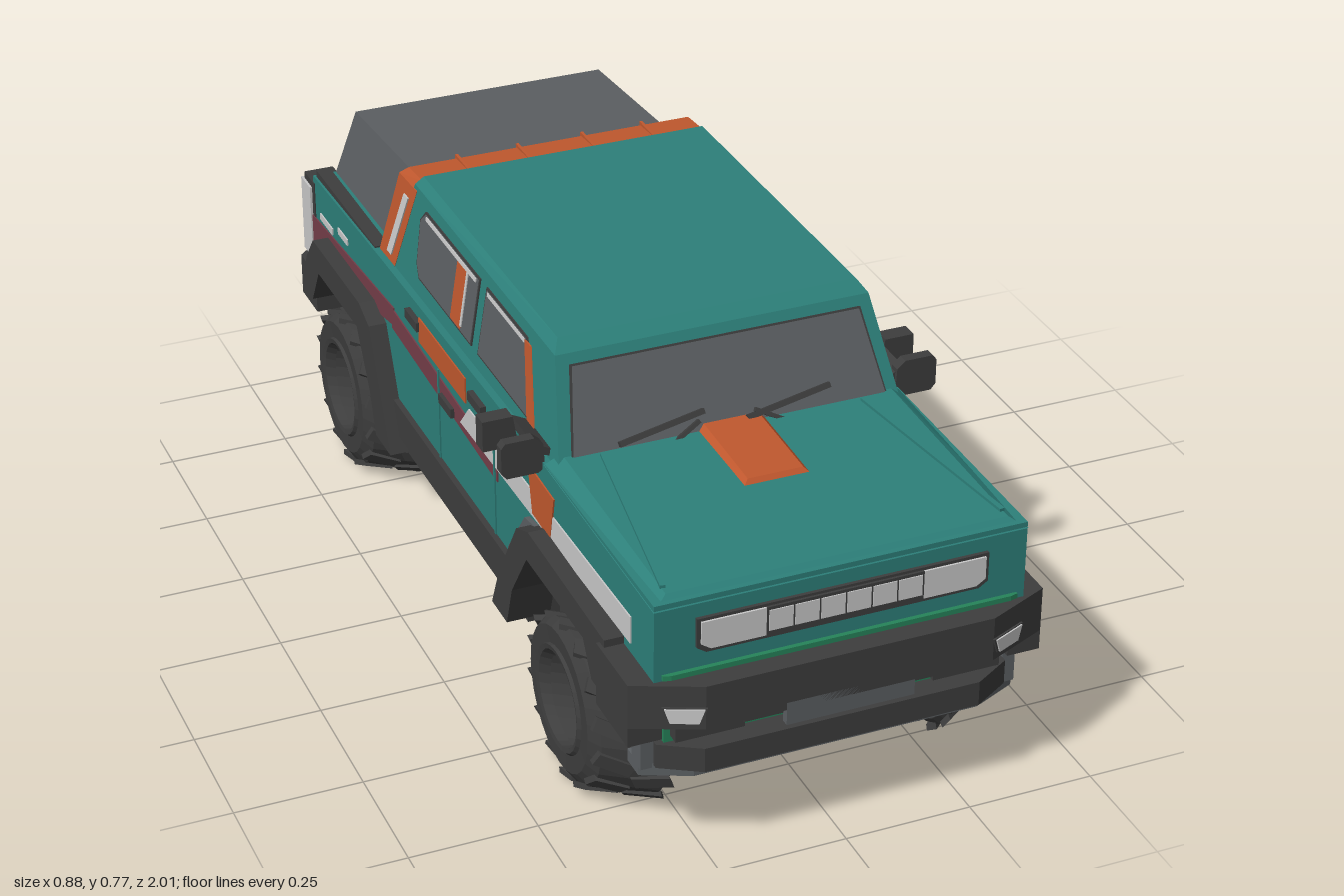
import * as THREE from 'three';
import { mergeGeometries } from 'three/addons/utils/BufferGeometryUtils.js';

const mat = (name, color) => {
  const m = new THREE.MeshStandardMaterial({ color });
  m.name = name;
  return m;
};

export function createModel() {
  const teal = mat('teal paint', 0x2d807a), orange = mat('orange paint', 0xc0582e), maroon = mat('maroon paint', 0x743d48);
  const dark = mat('dark trim', 0x3d3d3d), glass = mat('grey glass', 0x5b5f62), light = mat('light grey', 0xc9c9c9);
  const green = mat('green trim', 0x26845a), black = mat('black underside', 0x262626);
  const model = new THREE.Group();
  model.name = 'pickup';

  const add = (name, geo, material) => {
    const m = new THREE.Mesh(geo, material);
    m.name = name;
    model.add(m);
    return m;
  };
  // box given by its limits
  const box = (name, material, x0, x1, y0, y1, z0, z1) => add(name,
    new THREE.BoxGeometry(Math.abs(x1 - x0), y1 - y0, z1 - z0).translate((x0 + x1) / 2, (y0 + y1) / 2, (z0 + z1) / 2), material);
  const pair = (name, material, x0, x1, ...r) => [1, -1].forEach(s => box(name, material, s * x0, s * x1, ...r));
  const shape = pts => new THREE.Shape(pts.map(p => new THREE.Vector2(...p)));

  // rectangular rings [yBack, yFront, zBack, zFront, halfWidth] joined from bottom to top
  const stack = (name, material, rings) => {
    const P = rings.map(([yb, yf, zb, zf, x]) => [[-x, yf, zf], [x, yf, zf], [x, yb, zb], [-x, yb, zb]]);
    const v = [];
    const quad = (a, b, c, d) => v.push(...a, ...b, ...c, ...a, ...c, ...d);
    for (let i = 0; i < P.length - 1; i++)
      for (let k = 0; k < 4; k++) quad(P[i][k], P[i][(k + 1) % 4], P[i + 1][(k + 1) % 4], P[i + 1][k]);
    quad(...P[P.length - 1]);
    quad(...[...P[0]].reverse());
    const g = new THREE.BufferGeometry();
    g.setAttribute('position', new THREE.Float32BufferAttribute(v, 3));
    g.computeVertexNormals();
    return add(name, g, material);
  };
  // side outline [z, y] extruded along x from x0 to x0 + depth, on side s
  const sideGeo = (pts, s, x0, depth) => new THREE.ExtrudeGeometry(shape(pts.map(([z, y]) => [-s * z, y])),
    { depth, bevelEnabled: false }).rotateY(s * Math.PI / 2).translate(s * x0, 0, 0);
  // thin plate that follows the sloping side of the body
  const wallX = y => y > 0.56 ? 0.345 - 0.03 * (y - 0.56) / 0.19 : 0.36;
  const plate = (name, material, s, pts, lift = 0.001) => {
    const g = sideGeo(pts, s, 0, 0.003), p = g.attributes.position;
    for (let i = 0; i < p.count; i++) p.setX(i, p.getX(i) + s * (wallX(p.getY(i)) + lift));
    g.computeVertexNormals();
    return add(name, g, material);
  };
  const rect = (z0, z1, y0, y1) => [[z0, y0], [z1, y0], [z1, y1], [z0, y1]];
  // half plan [x, z] mirrored and extruded upwards
  const plan = (name, material, half, y0, y1) => {
    const pts = [...half, ...half.map(([x, z]) => [-x, z]).reverse()].map(([x, z]) => [x, -z]);
    return add(name, new THREE.ExtrudeGeometry(shape(pts), { depth: y1 - y0, bevelEnabled: false })
      .rotateX(-Math.PI / 2).translate(0, y0, 0), material);
  };
  // outline [x, y] extruded towards +z
  const front = (name, material, pts, z, depth) => add(name,
    new THREE.ExtrudeGeometry(shape(pts), { depth, bevelEnabled: false }).translate(0, 0, z), material);

  // lower body with open wheel arches, hood, cabin, hoop and bed cover
  add('body', sideGeo([[-0.92, 0.3], [-0.86, 0.3], [-0.8, 0.39], [-0.5, 0.39], [-0.4, 0.25], [0.33, 0.25], [0.43, 0.39],
    [0.75, 0.39], [0.82, 0.3], [0.9, 0.3], [0.955, 0.4], [0.955, 0.562], [0.45, 0.562], [-0.45, 0.545], [-0.91, 0.53]],
    1, -0.36, 0.72), teal);
  stack('hood', teal, [[0.56, 0.55, 0.44, 0.957, 0.361], [0.583, 0.57, 0.45, 0.935, 0.33]]);
  stack('cabin', teal, [[0.545, 0.56, -0.45, 0.475, 0.345], [0.75, 0.75, -0.37, 0.385, 0.315], [0.768, 0.772, -0.36, 0.36, 0.3]]);
  stack('rearHoop', orange, [[0.53, 0.53, -0.52, -0.43, 0.348], [0.735, 0.74, -0.46, -0.355, 0.317], [0.753, 0.76, -0.44, -0.352, 0.303]]);
  for (const x of [-0.2, -0.07, 0.07, 0.2]) box('hoopRib', orange, x - 0.003, x + 0.003, 0.75, 0.76, -0.445, -0.355);
  stack('bedCover', glass, [[0.49, 0.53, -0.92, -0.46, 0.318], [0.686, 0.715, -0.86, -0.44, 0.275]]);
  pair('bedRail', dark, 0.325, 0.355, 0.53, 0.546, -0.9, -0.52);

  // hood scoop and raised hood lines
  stack('hoodScoop', orange, [[0.578, 0.57, 0.455, 0.678, 0.071], [0.594, 0.586, 0.46, 0.665, 0.055]]);
  for (const s of [1, -1]) {
    const ridge = box('hoodRidge', teal, -0.005, 0.005, -0.004, 0.005, -0.22, 0.22);
    ridge.position.set(s * 0.295, 0.577, 0.7);
    ridge.rotation.set(0.027, s * 0.15, 0);
  }

  // windscreen and wipers lie on the sloping cabin front
  const screen = new THREE.Group();
  screen.name = 'windscreen';
  screen.position.set(0, 0.56, 0.476);
  screen.rotation.x = -0.442;
  model.add(screen);
  const onScreen = (name, geo, material) => {
    const m = new THREE.Mesh(geo, material);
    m.name = name;
    screen.add(m);
  };
  [['screenFrame', dark, 0.004, 0.001], ['screenGlass', glass, 0, 0.003]].forEach(([name, m, e, z]) => {
    const pts = [[-0.315 - e, 0.014 - e], [0.315 + e, 0.014 - e], [0.288 + e, 0.186 + e], [-0.288 - e, 0.186 + e]];
    onScreen(name, new THREE.ExtrudeGeometry(shape(pts), { depth: 0.003, bevelEnabled: false }).translate(0, 0, z), m);
  });
  for (const x of [-0.14, 0.115]) {
    onScreen('wiper', new THREE.BoxGeometry(0.175, 0.01, 0.012).rotateZ(0.17).translate(x, 0.044, 0.014), dark);
    onScreen('wiperArm', new THREE.BoxGeometry(0.07, 0.008, 0.01).rotateZ(-Math.sign(x) * 0.5).translate(x * 0.68, 0.025, 0.011), dark);
  }

  for (const s of [1, -1]) {
    // side windows and their coloured trim
    plate('windowFrame', dark, s, [[0.327, 0.586], [0.262, 0.726], [0.049, 0.726], [0.049, 0.586]], 0);
    plate('frontWindow', glass, s, [[0.32, 0.59], [0.258, 0.722], [0.053, 0.722], [0.053, 0.59]]);
    plate('rearWindowFrame', dark, s, [[0.014, 0.586], [0.014, 0.726], [-0.291, 0.726], [-0.314, 0.7], [-0.304, 0.61], [-0.283, 0.586]], 0);
    plate('rearWindow', glass, s, [[0.01, 0.59], [0.01, 0.722], [-0.288, 0.722], [-0.31, 0.7], [-0.3, 0.612], [-0.28, 0.59]]);
    plate('pillarTrim', orange, s, [[0.35, 0.585], [0.285, 0.72], [0.255, 0.72], [0.315, 0.585]], 0.002);
    plate('windowPost', orange, s, rect(-0.1, -0.045, 0.592, 0.715), 0.002);
    plate('windowPostEdge', light, s, rect(-0.048, -0.04, 0.6, 0.715), 0.003);
    plate('windowEdge', light, s, rect(0.06, 0.255, 0.713, 0.721), 0.002);
    plate('rearWindowEdge', light, s, rect(-0.28, 0.0, 0.713, 0.721), 0.003);
    plate('hoopEdge', light, s, [[-0.43, 0.57], [-0.455, 0.57], [-0.405, 0.715], [-0.38, 0.715]], 0.005);
    // belt trim, seams and handles
    plate('beltTrim', orange, s, rect(-0.23, 0.035, 0.475, 0.53), 0.003);
    plate('fenderTrim', orange, s, [[0.5, 0.52], [0.37, 0.525], [0.39, 0.43], [0.48, 0.425]], 0.003);
    for (const z of [0.19, -0.12]) plate('doorSeam', teal, s, rect(z - 0.003, z + 0.003, 0.27, 0.47), 0.004);
    for (const [z, y] of [[0.1, 0.51], [-0.26, 0.51], [-0.07, 0.415]])
      box('handle', dark, s * 0.36, s * 0.372, y - 0.01, y + 0.01, z - 0.035, z + 0.035);
    plate('sideMarker', light, s, rect(-0.73, -0.67, 0.478, 0.492), 0.004);
    plate('rearMarker', light, s, rect(-0.85, -0.77, 0.455, 0.47), 0.004);
    plate('quarterStripe', maroon, s, [[-0.39, 0.43], [-0.915, 0.33], [-0.915, 0.435], [-0.39, 0.47]]);
    // flared fenders with grey liners, sills
    add('frontFender', sideGeo([[0.82, 0.42], [0.45, 0.43], [0.39, 0.405], [0.29, 0.25], [0.25, 0.16], [0.33, 0.16], [0.36, 0.25],
      [0.44, 0.365], [0.72, 0.365], [0.76, 0.3], [0.82, 0.3]], s, 0.31, 0.088), dark);
    add('fenderLiner', sideGeo([[0.42, 0.415], [0.36, 0.405], [0.27, 0.29], [0.245, 0.22], [0.29, 0.22]], s, 0.33, 0.04), glass);
    add('rearFender', sideGeo([[-0.34, 0.16], [-0.38, 0.25], [-0.45, 0.405], [-0.51, 0.43], [-0.81, 0.43], [-0.86, 0.37], [-0.9, 0.28],
      [-0.83, 0.28], [-0.78, 0.365], [-0.53, 0.365], [-0.46, 0.25], [-0.43, 0.16]], s, 0.31, 0.088), dark);
    box('sill', dark, s * 0.3, s * 0.372, 0.19, 0.262, -0.4, 0.33);
    box('sillStep', dark, s * 0.28, s * 0.355, 0.15, 0.19, -0.4, 0.33);
    add('suspension', new THREE.CylinderGeometry(0.09, 0.09, 0.06, 14).rotateZ(Math.PI / 2).translate(s * 0.26, 0.19, 0.38), dark);
    // mirrors in two lobes with a bracket
    front('mirror', dark, [[0.355, 0.55], [0.368, 0.541], [0.43, 0.541], [0.44, 0.553], [0.44, 0.605], [0.432, 0.615], [0.375, 0.615],
      [0.358, 0.6]].map(([x, y]) => [s * x, y]), 0.41, 0.022);
    front('mirrorBack', dark, [[0.37, 0.547], [0.44, 0.547], [0.44, 0.61], [0.38, 0.61]].map(([x, y]) => [s * x, y]), 0.3, 0.035);
    front('mirrorArm', dark, [[0.335, 0.565], [0.375, 0.58], [0.375, 0.6], [0.335, 0.58]].map(([x, y]) => [s * x, y]), 0.31, 0.115);
  }

  // door colours differ from side to side
  plate('doorPanel', maroon, 1, rect(-0.39, 0.375, 0.275, 0.47));
  plate('doorWedge', teal, 1, [[-0.13, 0.415], [-0.37, 0.415], [-0.3, 0.295]], 0.002);
  plate('fenderStripe', light, -1, [[0.0, 0.415], [0.86, 0.43], [0.86, 0.485], [0.05, 0.47]], 0.002);
  plate('doorStripe', maroon, -1, [[-0.4, 0.42], [0.2, 0.39], [0.2, 0.435], [-0.4, 0.465]]);

  // front: light bar, bumper, plate and skid guard
  const barShape = (x, y0, y1) => [[-x + 0.018, y0], [x - 0.018, y0], [x, y0 + 0.012], [x, y1], [-x, y1], [-x, y0 + 0.012]];
  front('lightBarFrame', dark, barShape(0.282, 0.45, 0.521), 0.95, 0.012);
  front('headlights', light, barShape(0.275, 0.458, 0.515), 0.958, 0.008);
  box('lightBar', dark, -0.152, 0.152, 0.457, 0.516, 0.958, 0.967);
  for (let i = -3; i < 3; i++) box('lightBarCell', light, i * 0.05 + 0.002, i * 0.05 + 0.048, 0.468, 0.51, 0.962, 0.969);
  plan('greenLip', green, [[0.345, 0.93], [0.345, 0.96], [0.33, 0.964]], 0.408, 0.418);
  plan('frontBumper', dark, [[0.405, 0.8], [0.405, 0.945], [0.28, 1]], 0.315, 0.405);
  pair('bumperCorner', dark, 0.34, 0.405, 0.275, 0.35, 0.8, 0.945);
  plan('bumperCentre', dark, [[0.2, 0.93], [0.2, 0.985]], 0.3, 0.345);
  box('numberPlate', glass, -0.125, 0.125, 0.283, 0.33, 0.984, 1);
  for (const s of [1, -1]) {
    // fog lights sit flush on the angled bumper ends
    [['fogLightFrame', dark, 1.12, 0.004], ['fogLight', light, 1, 0.007]].forEach(([name, m, k, d]) => {
      const lamp = front(name, m, [[-0.026, -0.016], [0.026, -0.016], [0.036, 0.013], [-0.036, 0.013]]
        .map(([x, y]) => [s * k * x, k * y]), 0, d);
      lamp.position.set(s * 0.314, 0.347, 0.985);
      lamp.rotation.y = s * 0.415;
    });
  }
  box('greenPanel', green, -0.33, 0.33, 0.25, 0.318, 0.78, 0.93);
  pair('towMount', dark, 0.185, 0.318, 0.268, 0.316, 0.9, 0.955);
  plan('lowerBar', dark, [[0.345, 0.85], [0.345, 0.93], [0.27, 0.975]], 0.205, 0.255);
  plan('skidEdge', glass, [[0.37, 0.86], [0.37, 0.91], [0.28, 0.95]], 0.183, 0.208);
  pair('skidMount', glass, 0.345, 0.37, 0.2, 0.275, 0.88, 0.92);
  plan('skidPlate', glass, [[0.27, 0.78], [0.29, 0.88]], 0.14, 0.185);
  box('floor', black, -0.265, 0.265, 0.155, 0.4, -0.88, 0.86);

  // rear: tailgate, lamps and bumper
  box('tailgate', orange, -0.3, 0.3, 0.32, 0.505, -0.95, -0.91);
  box('tailgateLip', orange, -0.2, 0.2, 0.475, 0.505, -0.962, -0.93);
  pair('rearLampHousing', dark, 0.298, 0.362, 0.315, 0.515, -0.965, -0.9);
  pair('rearLamp', light, 0.306, 0.367, 0.33, 0.5, -0.974, -0.915);
  plan('rearBumper', dark, [[0.38, -0.86], [0.38, -0.96], [0.34, -0.998]], 0.23, 0.32);
  plan('rearGuard', dark, [[0.33, -0.82], [0.33, -0.95], [0.3, -0.975]], 0.17, 0.23);
  pair('rearFogFrame', black, 0.135, 0.215, 0.245, 0.298, -0.999, -0.99);
  pair('rearFogLight', light, 0.15, 0.2, 0.256, 0.288, -1, -0.99);
  box('hitch', glass, -0.06, 0.06, 0.255, 0.292, -0.999, -0.99);
  pair('hitchLight', light, 0.02, 0.05, 0.266, 0.284, -1, -0.99);

  // wheels with treads and deep-set rims; each leans backwards towards its outer face
  const tyreProfile = [[0.1, -0.063], [0.142, -0.065], [0.162, -0.05], [0.162, 0.05], [0.142, 0.065], [0.1, 0.063], [0.1, -0.063]];
  const ringProfile = [[0.096, 0.05], [0.108, 0.062], [0.104, 0.069], [0.094, 0.067], [0.09, 0.05], [0.096, 0.05]];
  const lathe = (p, s) => new THREE.LatheGeometry(p.map(a => new THREE.Vector2(...a)), 28).rotateZ(-s * Math.PI / 2);
  const disc = (r, w, x) => new THREE.CylinderGeometry(r, r, w, 24).rotateZ(Math.PI / 2).translate(x, 0, 0);
  for (const z of [0.66, -0.59]) for (const s of [1, -1]) {
    const shear = new THREE.Matrix4().set(1, 0, 0, s * 0.34, 0, 1, 0, 0.168, -s * 0.69, 0, 1, z, 0, 0, 0, 1);
    const put = (name, g, m) => {
      g = (g.index ? g.toNonIndexed() : g).applyMatrix4(shear);
      g.computeVertexNormals();
      add(name, g, m);
    };
    const treads = [], spokes = [];
    for (let i = 0; i < 28; i++) treads.push(new THREE.BoxGeometry(0.06, 0.012, 0.03)
      .rotateY(i % 2 ? 0.35 : -0.35).translate(i % 2 ? 0.031 : -0.031, 0.161, 0).rotateX(i * Math.PI / 14));
    for (let i = 0; i < 6; i++) spokes.push(new THREE.BoxGeometry(0.016, 0.07, 0.022)
      .translate(-s * 0.012, 0.06, 0).rotateX(i * Math.PI / 3));
    put('tyre', lathe(tyreProfile, s), dark);
    put('treads', mergeGeometries(treads), dark);
    put('rim', disc(0.101, 0.03, -s * 0.03), dark);
    put('rimRing', lathe(ringProfile, s), dark);
    put('spokes', mergeGeometries(spokes), glass);
    put('hub', disc(0.028, 0.03, -s * 0.01), glass);
  }
  for (const z of [0.68, -0.57]) add('axle', new THREE.CylinderGeometry(0.025, 0.025, 0.58, 10).rotateZ(Math.PI / 2).translate(0, 0.165, z), dark);
  return model;
}
